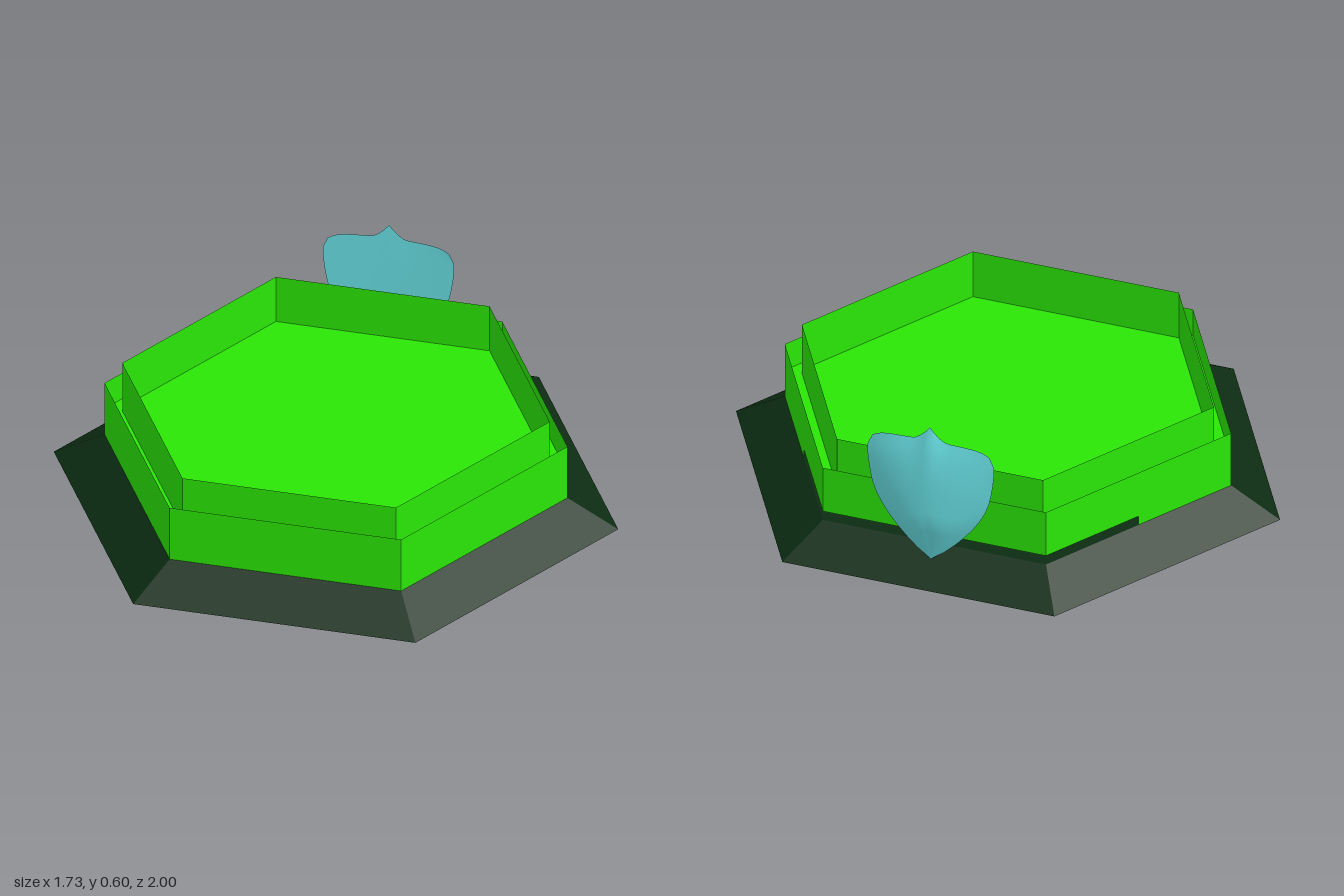
import * as THREE from 'three';

const green = new THREE.MeshStandardMaterial({ color: 0x2ae606, side: THREE.DoubleSide, flatShading: true });
const dark = new THREE.MeshStandardMaterial({ color: 0x0c2c12, side: THREE.DoubleSide, flatShading: true });
const cyan = new THREE.MeshStandardMaterial({ color: 0x68e0e4, side: THREE.DoubleSide });

const R = 0.82; // corner radius of the main wall
const RIM = 0.757; // corner radius of the upper rim

function add(parent, name, geometry, material) {
  const mesh = new THREE.Mesh(geometry, material);
  mesh.name = name;
  parent.add(mesh);
}

// Open six-sided band with corners on the z axis
function hexBand(rTop, rBottom, y0, y1) {
  return new THREE.CylinderGeometry(rTop, rBottom, y1 - y0, 6, 1, true).translate(0, (y0 + y1) / 2, 0);
}

// Flat horizontal hexagon, or hexagonal ring, with corners on the z axis
function hexPlate(rInner, rOuter, y) {
  return new THREE.RingGeometry(rInner, rOuter, 6, 1, Math.PI / 2).rotateX(-Math.PI / 2).translate(0, y, 0);
}

// One curved face of the shield: narrow at the foot, square shoulders, small peak
function shieldFace(bulge) {
  const y0 = 0.065;
  const widths = [0, 0.05, 0.09, 0.125, 0.155, 0.18, 0.2, 0.214, 0.222, 0.228, 0.232, 0.232, 0.215];
  const rows = widths.length - 1;
  const g = new THREE.PlaneGeometry(2, 1, 24, rows);
  const p = g.attributes.position;
  for (let i = 0; i < p.count; i++) {
    const u = p.getX(i), t = p.getY(i) + 0.5, a = Math.abs(u);
    const top = 0.55 - 0.01 * a + 0.05 * Math.max(0, 1 - a / 0.3) ** 1.6 - 0.02 * a ** 8;
    // Both faces meet along the foot, the sides and the top edge
    const depth = THREE.MathUtils.lerp(bulge * Math.min(1, t * 3), 0.008, t ** 5);
    p.setXYZ(i, u * widths[Math.round(t * rows)], y0 + t * (top - y0), depth * (1 - a ** 2));
  }
  g.computeVertexNormals();
  return g;
}

export function createModel() {
  const model = new THREE.Group();
  model.name = 'hexagonalPlatform';

  // Dark sloping base, open below, with a flat top
  add(model, 'baseSkirt', hexBand(R, 1, 0, 0.1), dark);
  add(model, 'baseTop', hexPlate(0, R, 0.1), dark);

  // Main wall; its lower strip reaches just through the base top
  // and is left out around the shield side
  add(model, 'mainWall', hexBand(R, R, 0.135, 0.31), green);
  const lip = new THREE.Group();
  lip.name = 'wallLip';
  model.add(lip);
  for (let side = 0; side < 6; side++) {
    for (const half of [-1, 1]) {
      const degrees = 30 + side * 60 + half * 15;
      if (degrees > 90 && degrees < 210) continue;
      const g = new THREE.PlaneGeometry(R / 2, 0.065)
        .translate(half * R / 4, 0.1025, R * Math.cos(Math.PI / 6))
        .rotateY(THREE.MathUtils.degToRad(30 + side * 60));
      add(lip, 'lipPanel', g, green);
    }
  }

  // Sunken floor, the upper rim around it and the channel outside the rim
  add(model, 'floor', hexPlate(0, RIM, 0.22), green);
  add(model, 'channelFloor', hexPlate(RIM, R, 0.205), green);
  add(model, 'upperRim', hexBand(RIM, RIM, 0.205, 0.402), green);

  // Shield standing against the back left side
  const shield = new THREE.Group();
  shield.name = 'shield';
  add(shield, 'shieldFront', shieldFace(0.045), cyan);
  add(shield, 'shieldBack', shieldFace(0.005), cyan);
  const angle = THREE.MathUtils.degToRad(150);
  shield.position.set(0.762 * Math.sin(angle) - 0.005, 0, 0.762 * Math.cos(angle) - 0.005);
  shield.rotation.y = angle;
  model.add(shield);

  return model;
}
